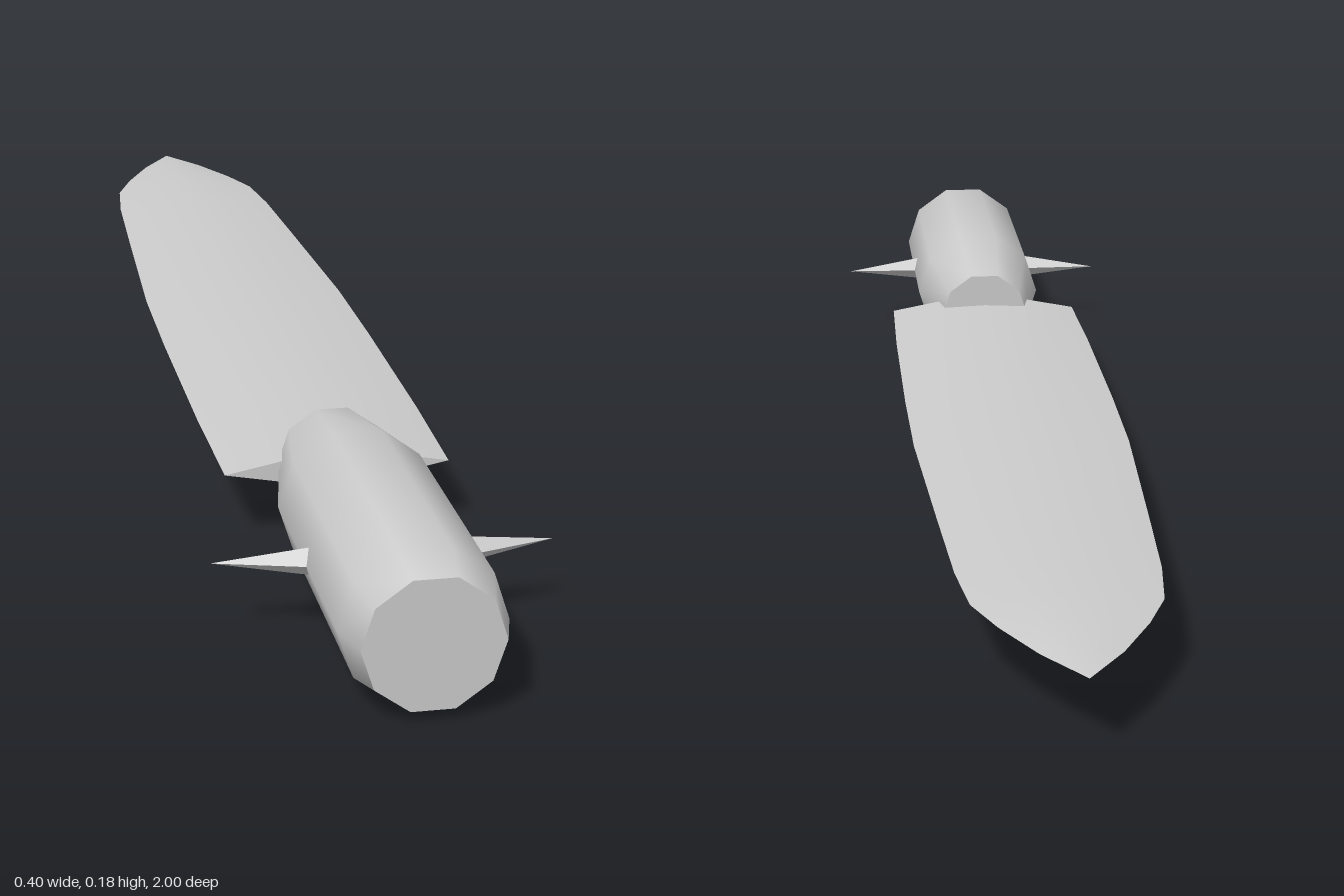
import * as THREE from 'three';
import { toCreasedNormals } from 'three/addons/utils/BufferGeometryUtils.js';

const AXIS_Y = 0.091; // height of the long axis
const CREASE = 0.7;

// Blade: lens-shaped cross-sections lofted along -z to a point
function bladeGeometry() {
  const sections = [ // z, half width, half thickness
    [0.49, 0.142, 0.017], [0.3, 0.146, 0.016], [0, 0.147, 0.0145],
    [-0.2, 0.145, 0.0135], [-0.5, 0.131, 0.0125], [-0.68, 0.122, 0.0115],
    [-0.78, 0.111, 0.0105], [-0.85, 0.085, 0.0095], [-0.93, 0.046, 0.006], [-1, 0, 0],
  ];
  const ring = [[1, 0], [0.5, 0.8], [0, 1], [-0.5, 0.8], [-1, 0], [-0.5, -0.8], [0, -1], [0.5, -0.8]];
  const n = ring.length;
  const positions = [];
  const index = [];
  for (const [z, w, t] of sections) {
    for (const [x, y] of ring) positions.push(x * w, y * t, z);
  }
  const center = positions.length / 3;
  positions.push(0, 0, sections[0][0]);
  for (let j = 0; j < n; j++) {
    const k = (j + 1) % n;
    index.push(center, j, k); // butt end
    for (let i = 0; i < sections.length - 1; i++) {
      const a = i * n + j, b = i * n + k;
      index.push(a, a + n, b);
      if (i < sections.length - 2) index.push(b, a + n, b + n);
    }
  }
  const geometry = new THREE.BufferGeometry();
  geometry.setAttribute('position', new THREE.Float32BufferAttribute(positions, 3));
  geometry.setIndex(index);
  return toCreasedNormals(geometry, CREASE);
}

// Handle: ten-sided, tapering to the blade, with a bevelled closed end
function handleGeometry() {
  const profile = [[0, 0.45], [0.067, 0.45], [0.0955, 0.6], [0.0955, 0.95], [0.081, 1], [0, 1]]
    .map(([r, z]) => new THREE.Vector2(r, z));
  const geometry = new THREE.LatheGeometry(profile, 10, Math.PI / 2).rotateX(Math.PI / 2);
  return toCreasedNormals(geometry, CREASE);
}

// Guard spike: four-sided cone along +x, its tip leaning toward the blade
function spikeGeometry() {
  const base = 0.08, tip = 0.202;
  const geometry = new THREE.ConeGeometry(0.0185, tip - base, 4)
    .rotateZ(-Math.PI / 2)
    .translate((base + tip) / 2, 0, 0.763);
  const p = geometry.attributes.position;
  for (let i = 0; i < p.count; i++) {
    p.setZ(i, p.getZ(i) - 0.015 * (p.getX(i) - base) / (tip - base));
  }
  return toCreasedNormals(geometry, CREASE);
}

export function createModel() {
  const steel = new THREE.MeshStandardMaterial({ color: 0xcccccc });
  steel.name = 'light grey';

  const model = new THREE.Group();
  model.name = 'knife';
  const add = (name, geometry) => {
    const mesh = new THREE.Mesh(geometry, steel);
    mesh.name = name;
    mesh.position.y = AXIS_Y;
    model.add(mesh);
    return mesh;
  };

  add('blade', bladeGeometry());
  add('handle', handleGeometry());
  const spike = spikeGeometry();
  add('leftSpike', spike);
  add('rightSpike', spike).rotation.z = Math.PI;
  return model;
}
